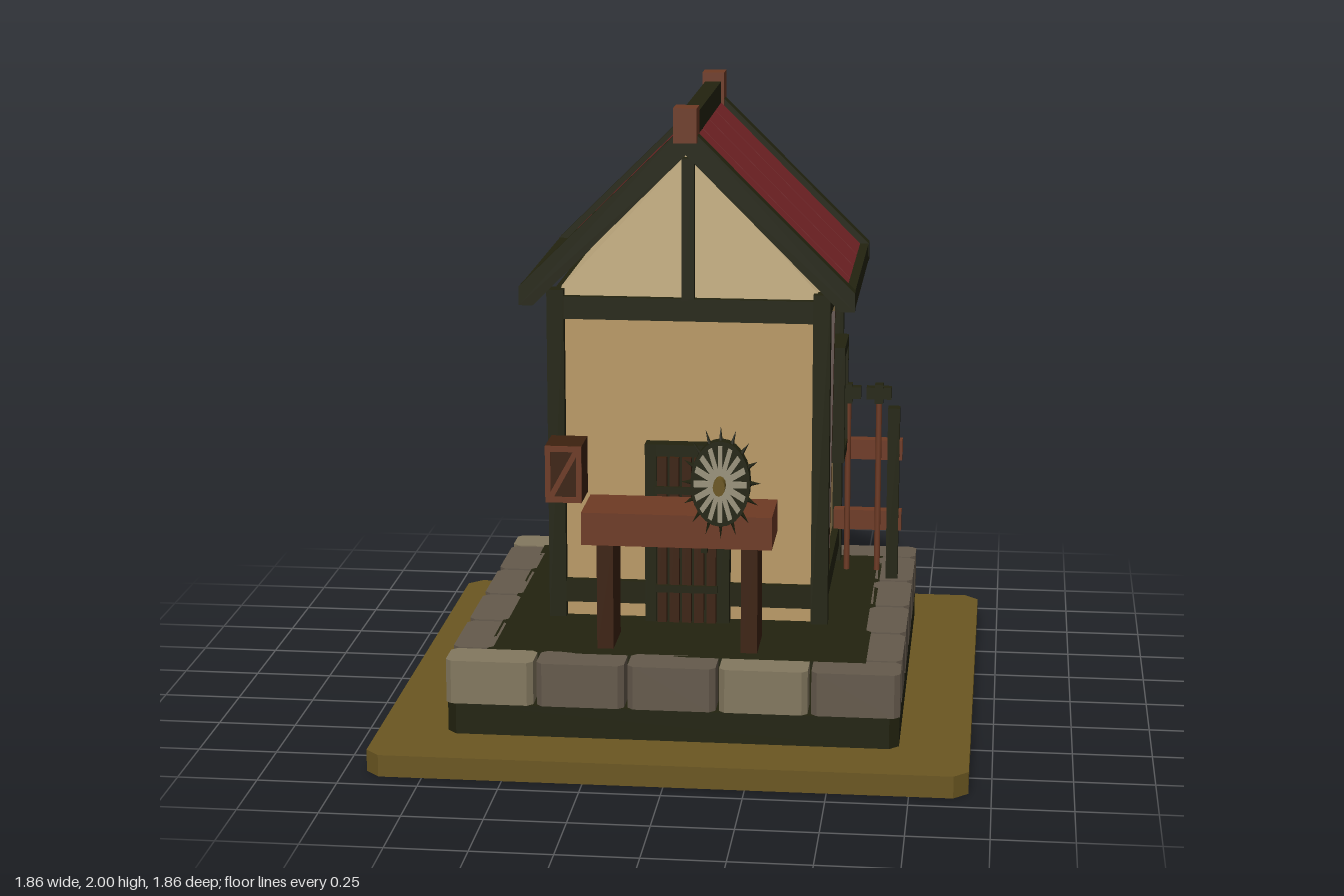
import * as THREE from 'three';

export function createModel() {
  const root = new THREE.Group();
  const mat = (name, color) => {
    const m = new THREE.MeshStandardMaterial({ color });
    m.name = name;
    return m;
  };
  const earth = mat('earth', 0x6b5721);
  const timber = mat('dark timber', 0x22230f);
  const plaster = mat('plaster', 0xba9a66);
  const gableCream = mat('gable plaster', 0xc9b285);
  const tile = mat('red roof', 0x742426);
  const wood = mat('red wood', 0x6e3a24);
  const darkWood = mat('dark wood', 0x3c210f);
  const stoneLight = mat('light stone', 0x83785f);
  const stoneGrey = mat('grey stone', 0x655a4c);
  const metal = mat('metal', 0x9a937c);

  const group = (name, parent = root) => {
    const g = new THREE.Group();
    g.name = name;
    parent.add(g);
    return g;
  };
  const add = (parent, name, geo, material) => {
    const m = new THREE.Mesh(geo, material);
    m.name = name;
    parent.add(m);
    return m;
  };
  // box given by its limits on each axis
  const box = (parent, name, material, [x0, x1], [y0, y1], [z0, z1]) => {
    const m = add(parent, name, new THREE.BoxGeometry(x1 - x0, y1 - y0, z1 - z0), material);
    m.position.set((x0 + x1) / 2, (y0 + y1) / 2, (z0 + z1) / 2);
    return m;
  };
  // outline in x and y, extruded from z0 to z1
  const prism = (parent, name, material, pts, z0, z1) => {
    const shape = new THREE.Shape(pts.map(p => new THREE.Vector2(...p)));
    const geo = new THREE.ExtrudeGeometry(shape, { depth: z1 - z0, bevelEnabled: false });
    geo.translate(0, 0, z0);
    return add(parent, name, geo, material);
  };
  // upright block with cut vertical corners
  const block = (parent, name, material, [x0, x1], [y0, y1], [z0, z1], c) => {
    const w = (x1 - x0) / 2, d = (z1 - z0) / 2;
    const m = prism(parent, name, material, [[-w + c, -d], [w - c, -d], [w, -d + c], [w, d - c],
      [w - c, d], [-w + c, d], [-w, d - c], [-w, -d + c]], 0, y1 - y0);
    m.geometry.rotateX(-Math.PI / 2);
    m.position.set((x0 + x1) / 2, y0, (z0 + z1) / 2);
    return m;
  };
  // flat bar on a side wall, between two (z, y) points
  const sideBar = (parent, name, material, x, a, b, width, thick) => {
    const dz = b[0] - a[0], dy = b[1] - a[1];
    const m = add(parent, name, new THREE.BoxGeometry(thick, Math.hypot(dz, dy), width), material);
    m.position.set(x, (a[1] + b[1]) / 2, (a[0] + b[0]) / 2);
    m.rotation.x = Math.atan2(dz, dy);
    return m;
  };

  // ground and stone platform
  block(root, 'ground', earth, [-0.93, 0.93], [0, 0.07], [-0.93, 0.93], 0.045);
  block(root, 'foundation', timber, [-0.71, 0.71], [0.07, 0.17], [-0.71, 0.71], 0.03);
  box(root, 'floor', timber, [-0.6, 0.6], [0.285, 0.31], [-0.6, 0.6]);
  const stones = group('stoneRing');
  const ySt = [0.17, 0.31];
  for (const s of [-1, 1]) {
    for (let i = 0; i < 5; i++) {
      const x = (i - 2) * 0.287, z = s * 0.648;
      block(stones, 'rowStone', i % 3 === 0 ? stoneLight : stoneGrey,
        [x - 0.138, x + 0.138], ySt, [z - 0.064, z + 0.064], 0.018);
    }
    for (let i = 0; i < 4; i++) {
      const z = (i - 1.5) * 0.29, x = s * 0.648;
      block(stones, 'sideStone', stoneGrey,
        [x - 0.064, x + 0.064], ySt, [z - 0.137, z + 0.137], 0.018);
    }
  }

  // house body and timber frame
  const house = group('house');
  const zF = 0.22, zB = -0.57;
  box(house, 'walls', plaster, [-0.425, 0.425], [0.3, 1.37], [zB + 0.03, zF - 0.03]);
  prism(house, 'gable', gableCream, [[-0.44, 1.37], [0.44, 1.37], [0, 1.845]], zB + 0.03, zF - 0.03);
  for (const s of [-1, 1]) {
    const span = (a, b) => s > 0 ? [a, b] : [-b, -a];
    for (const z of [zF - 0.057, zB])
      box(house, 'cornerPost', timber, span(0.4, 0.455), [0.3, 1.4], [z, z + 0.057]);
    for (const y of [[0.36, 0.435], [1.305, 1.378]])
      box(house, 'sideBeam', timber, span(0.405, 0.448), y, [zB + 0.01, zF - 0.01]);
    sideBar(house, 'wallBrace', darkWood, s * 0.435, [0.08, 0.44], [-0.115, 1.28], 0.022, 0.03);
  }
  for (const z of [[zF - 0.05, zF - 0.005], [zB + 0.005, zB + 0.05]]) {
    for (const y of [[0.36, 0.435], [1.305, 1.378]])
      box(house, 'endBeam', timber, [-0.45, 0.45], y, z);
    box(house, 'kingPost', timber, [-0.02, 0.02], [1.37, 1.83], z);
  }

  // roof
  const roof = group('roof');
  for (const z of [0.23, -0.637])
    prism(roof, 'bargeBoard', timber, [[-0.535, 1.42], [-0.535, 1.36], [-0.49, 1.36], [0, 1.85],
      [0.49, 1.36], [0.535, 1.36], [0.535, 1.42], [0, 1.948]], z, z + 0.05);
  for (const s of [-1, 1]) {
    for (let i = 0; i < 4; i++) {
      const z = -0.588 + i * 0.206;
      const pts = [[0, 1.89], [0.51, 1.38], [0.51, 1.415], [0, 1.925]];
      prism(roof, 'roofPanel', tile, pts.map(([x, y]) => [x * s, y]), z, z + 0.198);
    }
    const e = box(roof, 'eaveBoard', timber, [-0.0225, 0.0225], [1.36, 1.42], [-0.6, 0.24]);
    e.position.x = s * 0.511;
  }
  box(roof, 'ridgeBeam', timber, [-0.027, 0.027], [1.89, 1.97], [-0.6, 0.24]);
  for (const z of [[0.22, 0.3], [-0.66, -0.58]])
    box(roof, 'ridgeCap', wood, [-0.037, 0.037], [1.89, 2], z);

  // plank door
  const door = group('door');
  for (const x of [[-0.137, -0.1], [0.1, 0.137]])
    box(door, 'doorPost', timber, x, [0.31, 0.905], [0.18, 0.243]);
  box(door, 'doorLintel', timber, [-0.137, 0.137], [0.865, 0.905], [0.18, 0.243]);
  box(door, 'doorBacking', timber, [-0.1, 0.1], [0.31, 0.868], [0.18, 0.235]);
  for (let i = 0; i < 5; i++) {
    const x = (i - 2) * 0.04;
    box(door, 'doorPlank', darkWood, [x - 0.015, x + 0.015], [0.315, 0.866], [0.23, 0.262]);
  }
  for (const y of [0.43, 0.76])
    box(door, 'hinge', timber, [-0.1, 0.1], [y - 0.012, y + 0.012], [0.255, 0.271]);
  box(door, 'handle', timber, [0.05, 0.07], [0.56, 0.615], [0.26, 0.29]);

  // side window with crossed bars
  const win = group('window');
  const xw = [0.42, 0.485];
  for (const z of [[-0.132, -0.1], [-0.325, -0.293]])
    box(win, 'windowJamb', timber, xw, [0.77, 1.16], z);
  for (const y of [[0.77, 0.805], [1.125, 1.16]])
    box(win, 'windowRail', timber, xw, y, [-0.3, -0.125]);
  sideBar(win, 'windowBar', timber, 0.455, [-0.13, 0.8], [-0.295, 1.13], 0.016, 0.02);
  sideBar(win, 'windowBar', timber, 0.457, [-0.295, 0.8], [-0.13, 1.13], 0.016, 0.02);

  // work table
  const table = group('table');
  box(table, 'tableTop', wood, [-0.3, 0.3], [0.655, 0.76], [0.34, 0.56]);
  for (const s of [-1, 1]) {
    const leg = box(table, 'tableLeg', darkWood, [-0.026, 0.026], [0.31, 0.66], [0.365, 0.54]);
    leg.position.x = s * 0.228;
  }

  // spiked oval wheel on the table
  const wheel = group('spikedWheel');
  wheel.position.set(0.14, 0.87, 0.56);
  wheel.scale.set(0.68, 1, 1);
  const disc = add(wheel, 'wheelDisc', new THREE.CylinderGeometry(0.137, 0.137, 0.04, 24), timber);
  disc.rotation.x = Math.PI / 2;
  for (let i = 0; i < 16; i++) {
    const arm = group('wheelArm', wheel);
    arm.rotation.z = i * Math.PI / 8;
    box(arm, 'spoke', metal, [-0.01, 0.01], [0.02, 0.122], [0.015, 0.027]);
    const spike = add(arm, 'spike', new THREE.ConeGeometry(0.01, 0.055, 4), timber);
    spike.position.y = 0.155;
  }
  const hub = add(wheel, 'wheelHub', new THREE.CylinderGeometry(0.028, 0.028, 0.045, 12), earth);
  hub.rotation.x = Math.PI / 2;
  hub.position.z = 0.042;

  // small crate
  const crate = group('crate');
  box(crate, 'crateBody', darkWood, [-0.415, -0.3], [0.785, 0.967], [0.4, 0.535]);
  const zc = [0.53, 0.54];
  for (const x of [[-0.415, -0.398], [-0.317, -0.3]])
    box(crate, 'crateStile', wood, x, [0.785, 0.967], zc);
  for (const y of [[0.785, 0.803], [0.949, 0.967]])
    box(crate, 'crateRail', wood, [-0.4, -0.315], y, zc);
  const slat = box(crate, 'crateSlat', wood, [-0.366, -0.349], [0.79, 0.962], zc);
  slat.rotation.z = -0.5;

  // tool rack beside the house
  const rack = group('toolRack');
  box(rack, 'rackPost', timber, [0.62, 0.66], [0.3, 0.907], [-0.362, -0.318]);
  for (const y of [[0.48, 0.548], [0.727, 0.795]])
    box(rack, 'rackBoard', wood, [0.44, 0.67], y, [-0.366, -0.322]);
  for (const x of [0.487, 0.59]) {
    const hammer = group('hammer', rack);
    hammer.position.set(x, 0, -0.304);
    const shaft = add(hammer, 'hammerShaft', new THREE.CylinderGeometry(0.01, 0.01, 0.63, 8), wood);
    shaft.position.y = 0.66;
    box(hammer, 'hammerHead', timber, [-0.042, 0.042], [0.945, 0.985], [-0.018, 0.018]);
    box(hammer, 'hammerCap', timber, [-0.014, 0.014], [0.93, 0.995], [-0.02, 0.02]);
  }
  return root;
}
